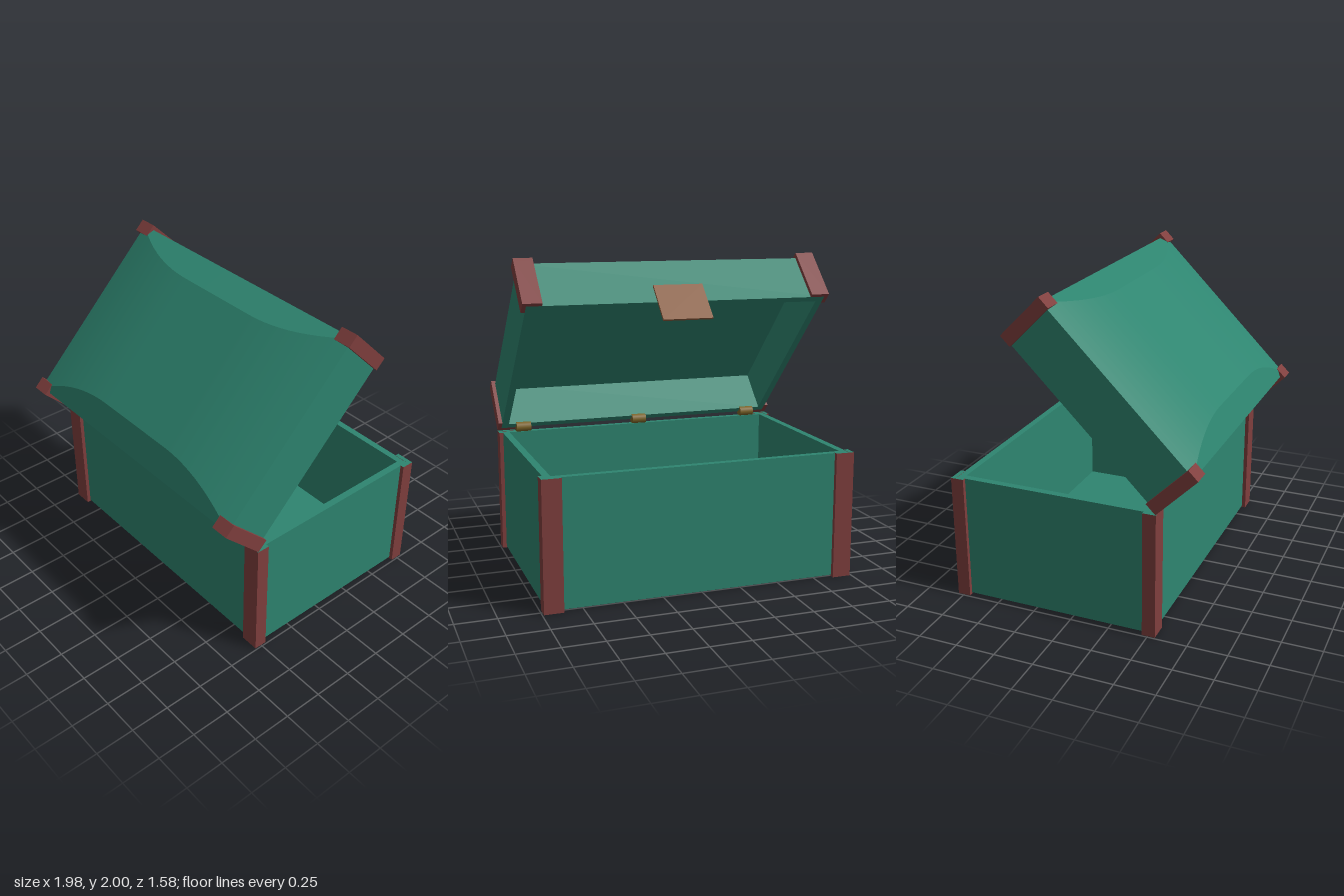
import * as THREE from 'three';

const mat = (color, side = THREE.FrontSide) => new THREE.MeshStandardMaterial({ color, side });
const teal = mat(0x2e8570), red = mat(0x803f3e), brass = mat(0x7d6428), tan = mat(0x8a5c3c);

// Shared half sizes: corner guards, shell outside, shell inside
const GX = 0.99, GZ = 0.668, SX = 0.965, SZ = 0.643, IX = 0.92, IZ = 0.6;
const GUARD_X = 0.12, GUARD_Z = 0.083;

function add(parent, name, geometry, material, x = 0, y = 0, z = 0) {
  const mesh = new THREE.Mesh(geometry, material);
  mesh.name = name;
  mesh.position.set(x, y, z);
  parent.add(mesh);
  return mesh;
}

const polygon = (points) => new THREE.Shape(points.map(([x, y]) => new THREE.Vector2(x, y)));
const rect = (x, z) => polygon([[-x, -z], [x, -z], [x, z], [-x, z]]);

// Extrude a plan outline upwards
function rise(shape, height) {
  return new THREE.ExtrudeGeometry(shape, { depth: height, bevelEnabled: false }).rotateX(-Math.PI / 2);
}

// Open rectangular frame of four walls
function walls(height) {
  const shape = rect(SX, SZ);
  shape.holes.push(rect(IX, IZ));
  return rise(shape, height);
}

// L-shaped guard wrapped around one corner
function guard(sx, sz, height) {
  const wx = SX - 0.004, wz = SZ - 0.004;
  const outline = [
    [GX, GZ], [GX - GUARD_X, GZ], [GX - GUARD_X, wz],
    [wx, wz], [wx, GZ - GUARD_Z], [GX, GZ - GUARD_Z],
  ];
  return rise(polygon(outline.map(([x, z]) => [sx * x, -sz * z])), height);
}

// Shallow lid crown: trapezoid sections that fade out towards both ends
function crown(baseY, height, inset) {
  const n = 32, position = [], index = [];
  const section = (x) => {
    const a = Math.max(0, (Math.abs(x) - 0.3) / (SX - 0.3));
    const t = 1 - a * a;
    const z = SZ - inset * t, y = baseY + height * t;
    return [[x, baseY, SZ], [x, y, z], [x, y, -z], [x, baseY, -SZ]];
  };
  // Each strip has its own vertices so the ridges stay sharp
  for (let strip = 0; strip < 3; strip++) {
    const start = position.length / 3;
    for (let i = 0; i <= n; i++) {
      const s = section(-SX + (2 * SX * i) / n);
      position.push(...s[strip], ...s[strip + 1]);
      if (i < n) {
        const k = start + i * 2;
        index.push(k, k + 2, k + 1, k + 1, k + 2, k + 3);
      }
    }
  }
  const g = new THREE.BufferGeometry();
  g.setAttribute('position', new THREE.Float32BufferAttribute(position, 3));
  g.setIndex(index);
  g.computeVertexNormals();
  return g;
}

function eachCorner(fn) {
  for (const sx of [-1, 1]) for (const sz of [-1, 1]) fn(sx, sz);
}

export function createModel() {
  const model = new THREE.Group();
  model.name = 'chest';

  // Lower box
  const base = new THREE.Group();
  base.name = 'base';
  base.position.z = -0.122;
  model.add(base);
  add(base, 'baseWalls', walls(0.793), teal, 0, 0.01);
  add(base, 'baseFloor', new THREE.BoxGeometry(2 * IX, 0.045, 2 * IZ), teal, 0, 0.0325);
  eachCorner((sx, sz) => add(base, 'cornerPost', guard(sx, sz, 0.805), [teal, red]));

  // Open lid, tilted about the hinge edge
  const lid = new THREE.Group();
  lid.name = 'lid';
  lid.position.set(0, 0.81, 0.54);
  lid.rotation.x = Math.PI / 4;
  model.add(lid);
  const shell = new THREE.Group();
  shell.name = 'lidShell';
  shell.position.z = -0.664;
  lid.add(shell);
  const wallHeight = 0.33;
  add(shell, 'lidWalls', walls(wallHeight), teal);
  add(shell, 'lidCeiling', new THREE.BoxGeometry(2 * IX, 0.03, 2 * IZ), teal, 0, wallHeight - 0.03);
  add(shell, 'lidCrown', crown(wallHeight, 0.083, 0.18), teal);
  eachCorner((sx, sz) => {
    add(shell, 'lidCornerGuard', guard(sx, sz, 0.34), red);
    add(shell, 'lidCornerCap', new THREE.BoxGeometry(GUARD_X, 0.023, GUARD_Z), red,
      sx * (GX - GUARD_X / 2), 0.3415, sz * (GZ - GUARD_Z / 2));
  });

  // Clasp plate hanging from the free edge of the lid
  add(shell, 'clasp', new THREE.BoxGeometry(0.32, 0.27, 0.014), tan, 0, -0.01, -SZ - 0.006);

  // Hinge barrels
  for (const x of [-0.82, 0, 0.82]) {
    add(model, 'hinge', new THREE.CylinderGeometry(0.034, 0.034, 0.098, 20).rotateZ(Math.PI / 2),
      brass, x, 0.83, 0.505);
  }
  return model;
}
